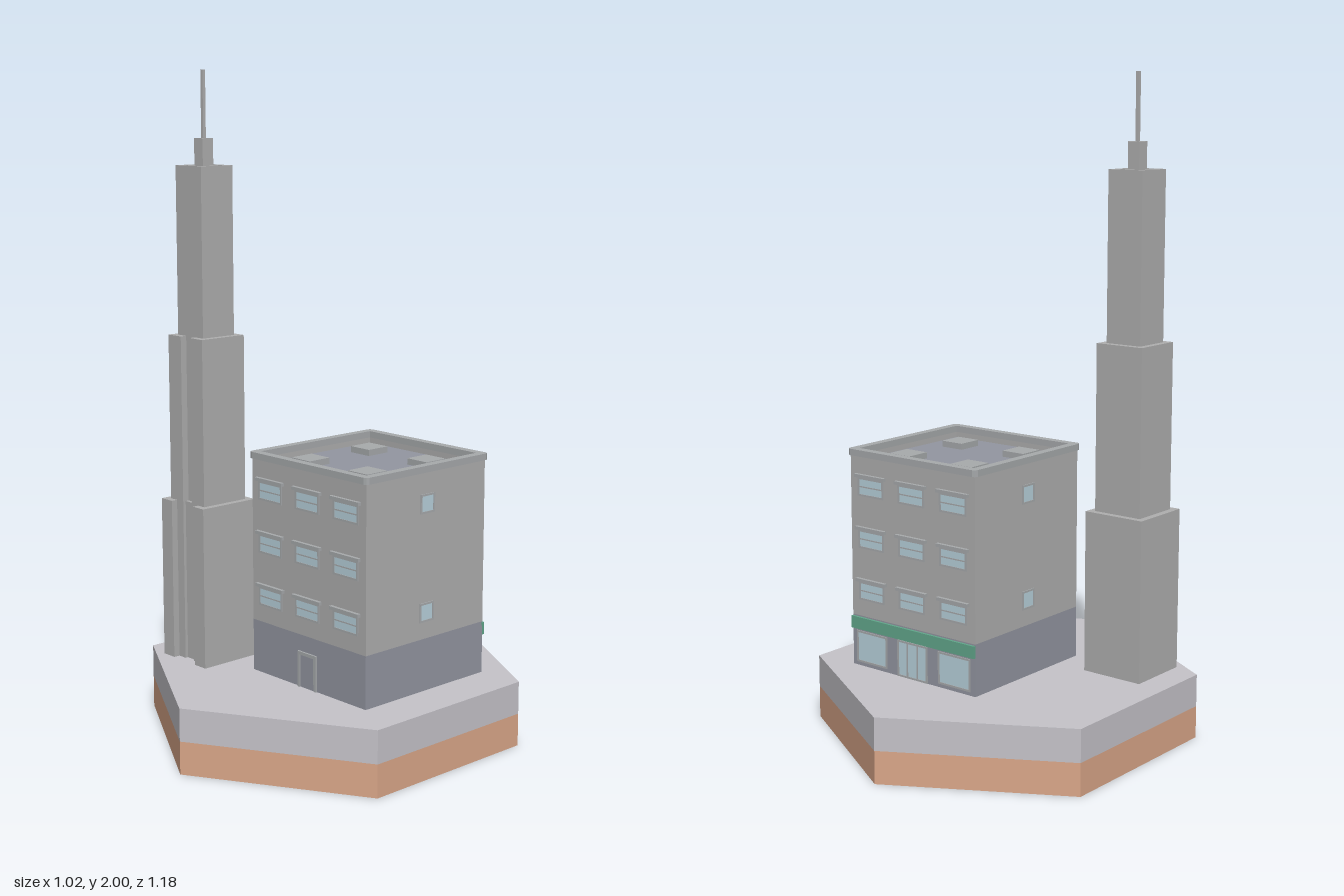
import * as THREE from 'three';

const mat = (color) => new THREE.MeshStandardMaterial({ color, flatShading: true });
const M = {
  earth: mat(0xdba88a), paving: mat(0xc6c4ca), slate: mat(0x9497a2), wall: mat(0xb0b0b0),
  trim: mat(0xa8abad), glass: mat(0xb9d3de), awning: mat(0x62a88c),
};

function add(parent, name, geometry, material, x = 0, y = 0, z = 0) {
  const mesh = new THREE.Mesh(geometry, material);
  mesh.name = name;
  mesh.position.set(x, y, z);
  parent.add(mesh);
  return mesh;
}
// Box standing on height y
const block = (parent, name, material, w, h, d, x, y, z) =>
  add(parent, name, new THREE.BoxGeometry(w, h, d), material, x, y + h / 2, z);

const polygon = (pts) => new THREE.Shape(pts.map(([x, y]) => new THREE.Vector2(x, y)));
const rect = (w, h) => [[-w / 2, -h / 2], [w / 2, -h / 2], [w / 2, h / 2], [-w / 2, h / 2]];

// Rectangular frame with an opening, extruded along +z; bevel cuts the outer corners
function frameGeometry(w, h, iw, ih, depth, bevel = 0) {
  const a = w / 2, b = h / 2, c = bevel;
  const outer = c
    ? [[c - a, -b], [a - c, -b], [a - c * 0.3, c * 0.3 - b], [a, c - b], [a, b - c], [a - c * 0.3, b - c * 0.3],
      [a - c, b], [c - a, b], [c * 0.3 - a, b - c * 0.3], [-a, b - c], [-a, c - b], [c * 0.3 - a, c * 0.3 - b]]
    : rect(w, h);
  const shape = polygon(outer);
  shape.holes.push(polygon(rect(iw, ih)));
  return new THREE.ExtrudeGeometry(shape, { depth, bevelEnabled: false });
}
// The same frame lying flat, rising from height y
function ring(parent, name, material, size, inner, height, x, y, z, bevel = 0) {
  const geo = frameGeometry(size, size, inner, inner, height, bevel).rotateX(-Math.PI / 2);
  return add(parent, name, geo, material, x, y, z);
}

// Window facing +z, centred on its glass
function makeWindow(w, h, { bar = false, lintel = false, uprights = 0 } = {}) {
  const g = new THREE.Group();
  g.name = 'window';
  add(g, 'windowFrame', frameGeometry(w, h, w - 0.012, h - 0.012, 0.003), M.trim);
  add(g, 'windowGlass', new THREE.BoxGeometry(w - 0.012, h - 0.012, 0.002), M.glass);
  if (bar) add(g, 'windowBar', new THREE.BoxGeometry(w - 0.012, 0.004, 0.004), M.trim);
  for (let i = 1; i <= uprights; i++)
    add(g, 'windowUpright', new THREE.BoxGeometry(0.005, h - 0.012, 0.005), M.trim, w * (i / (uprights + 1) - 0.5));
  if (lintel) add(g, 'windowLintel', new THREE.BoxGeometry(0.12, 0.01, 0.02), M.trim, 0, h / 2 + 0.005);
  return g;
}

function makeBase() {
  const g = new THREE.Group();
  g.name = 'hexagonalBase';
  const slab = () => new THREE.CylinderGeometry(0.59, 0.59, 0.1, 6);
  add(g, 'earthLayer', slab(), M.earth, 0, 0.05, 0);
  add(g, 'pavingLayer', slab(), M.paving, 0, 0.15, 0);
  return g;
}

function makeBuilding() {
  const g = new THREE.Group();
  g.name = 'apartmentBuilding';
  g.position.set(0.128, 0, -0.036);
  const W = 0.49, half = W / 2;
  block(g, 'groundFloor', M.slate, W, 0.16, W, 0, 0.2, 0);
  for (let i = 0; i < 3; i++) block(g, 'upperFloor', M.wall, W, 0.16, W, 0, 0.36 + i * 0.16, 0);

  // Roof with parapet, cornice and hatches
  ring(g, 'parapet', M.wall, W, 0.452, 0.02, 0, 0.84, 0);
  ring(g, 'cornice', M.trim, 0.505, 0.452, 0.02, 0, 0.86, 0, 0.012);
  block(g, 'roofDeck', M.slate, 0.452, 0.003, 0.452, 0, 0.84, 0);
  for (const x of [-0.122, 0.122])
    for (const z of [-0.122, 0.122]) block(g, 'roofHatch', M.trim, 0.08, 0.022, 0.08, x, 0.84, z);

  // Four walls: windows on each, a door at the front, a shop at the back
  for (let side = 0; side < 4; side++) {
    const wall = new THREE.Group();
    wall.name = ['frontWall', 'leftWall', 'backWall', 'rightWall'][side];
    wall.rotation.y = side * Math.PI / 2;
    g.add(wall);
    const place = (part, x, y) => { part.position.set(x, y, half + 0.001); wall.add(part); };
    if (side % 2 === 0) {
      for (let row = 0; row < 3; row++)
        for (let col = -1; col <= 1; col++)
          place(makeWindow(0.104, 0.058, { bar: true, lintel: true }), col * 0.163, 0.441 + row * 0.163);
    } else {
      for (const y of [0.441, 0.767]) place(makeWindow(0.058, 0.058), 0, y);
    }
    if (side === 0) {
      block(wall, 'doorPanel', M.slate, 0.06, 0.1, 0.004, 0, 0.2, half);
      for (const x of [-0.035, 0.035]) block(wall, 'doorJamb', M.trim, 0.01, 0.11, 0.012, x, 0.2, half);
      block(wall, 'doorHead', M.trim, 0.08, 0.01, 0.012, 0, 0.3, half);
    }
    if (side === 2) {
      for (const x of [-0.165, 0.165]) place(makeWindow(0.125, 0.1), x, 0.262);
      place(makeWindow(0.12, 0.114, { uprights: 2 }), 0, 0.258);
      block(wall, 'shopAwning', M.awning, W, 0.038, 0.016, 0, 0.318, half);
    }
  }
  return g;
}

function makeTower() {
  const g = new THREE.Group();
  g.name = 'steppedTower';
  g.position.set(-0.322, 0, 0.215);
  // Lower tiers: square plans with a slot down the front
  const tier = (name, size, slot, depth, height) => {
    const a = size / 2, s = slot / 2;
    const plan = polygon([[-a, -a], [-s, -a], [-s, depth - a], [s, depth - a], [s, -a], [a, -a], [a, a], [-a, a]]);
    const geo = new THREE.ExtrudeGeometry(plan, { depth: height, bevelEnabled: false }).rotateX(-Math.PI / 2);
    add(g, name, geo, M.wall, 0, 0.2, 0);
  };
  tier('lowerTier', 0.203, 0.103, 0.03, 0.5);
  tier('middleTier', 0.162, 0.042, 0.021, 1.01);

  // Upper shaft with a sunken top, cap and mast
  block(g, 'upperShaft', M.wall, 0.12, 1.495, 0.12, 0, 0.2, 0);
  ring(g, 'shaftRim', M.wall, 0.12, 0.086, 0.025, 0, 1.695, 0);
  block(g, 'towerCap', M.wall, 0.04, 0.105, 0.04, 0, 1.695, 0);
  block(g, 'mast', M.wall, 0.01, 0.2, 0.01, 0, 1.8, 0);
  return g;
}

export function createModel() {
  const model = new THREE.Group();
  model.name = 'cityTile';
  model.add(makeBase(), makeBuilding(), makeTower());
  return model;
}
